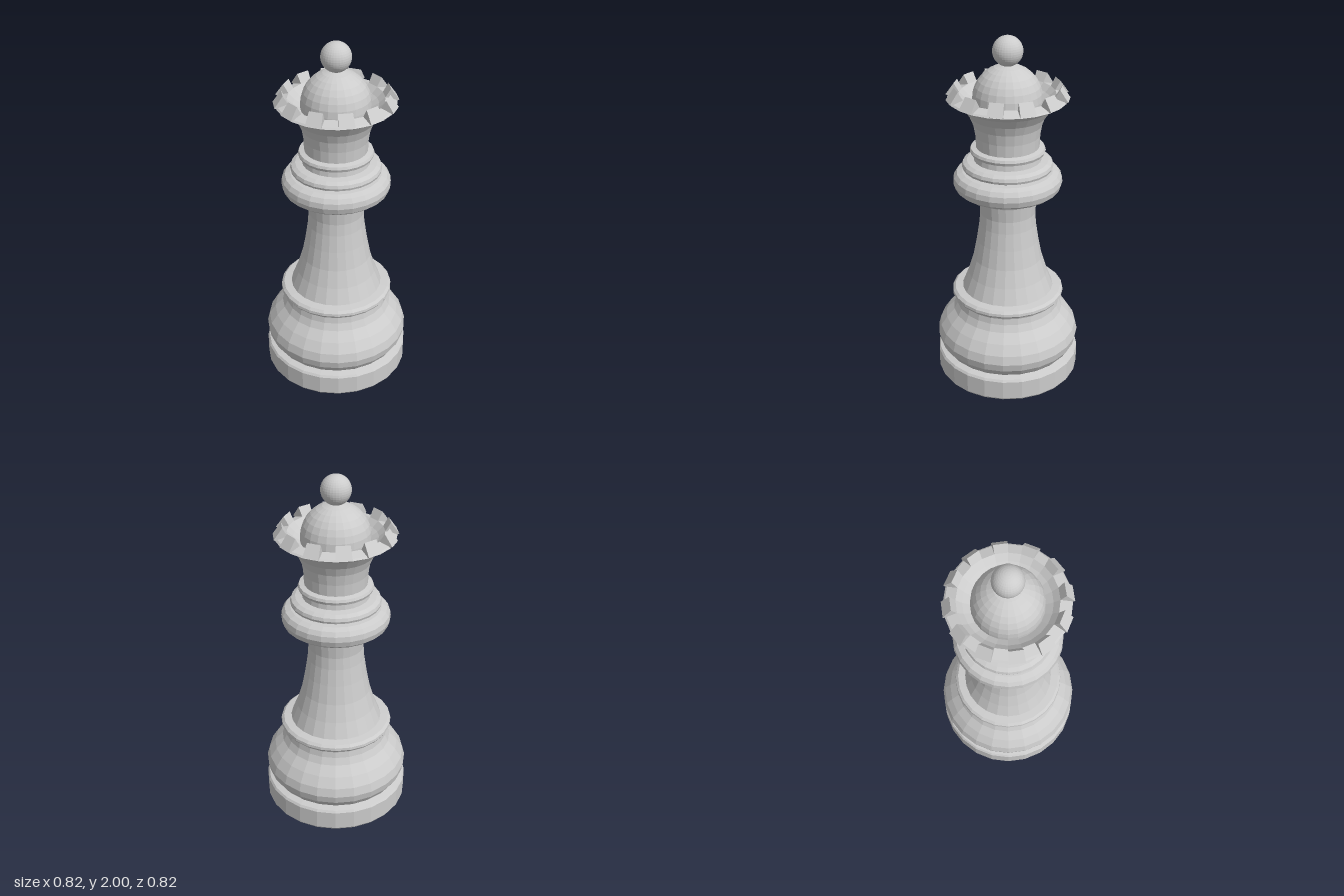
import * as THREE from 'three';

const SIDES = 24;
const STEP = (Math.PI * 2) / SIDES;

export function createModel() {
  const group = new THREE.Group();
  group.name = 'chessQueen';
  const mat = new THREE.MeshStandardMaterial({ color: 0xcccccc, flatShading: true });

  const add = (name, geometry, y = 0, parent = group) => {
    const mesh = new THREE.Mesh(geometry, mat);
    mesh.name = name;
    mesh.position.y = y;
    parent.add(mesh);
    return mesh;
  };
  // Faceted turned part from [radius, height] pairs, listed bottom to top
  const turn = (name, points) =>
    add(name, new THREE.LatheGeometry(points.map(([r, y]) => new THREE.Vector2(r, y)), SIDES));

  // Foot disc and bulging base
  turn('foot', [[0, 0], [0.405, 0], [0.411, 0.01], [0.411, 0.12], [0.402, 0.132], [0.365, 0.142], [0, 0.142]]);
  turn('base', [
    [0.365, 0.14], [0.378, 0.155], [0.4, 0.19], [0.409, 0.235], [0.396, 0.285],
    [0.36, 0.34], [0.315, 0.39], [0.296, 0.43], [0.29, 0.465], [0.295, 0.482],
  ]);
  turn('baseRing', [[0.29, 0.482], [0.312, 0.486], [0.319, 0.497], [0.317, 0.512], [0.303, 0.525], [0.25, 0.532]]);

  // Tapered stem
  turn('stem', [
    [0.26, 0.53], [0.225, 0.62], [0.195, 0.72], [0.174, 0.83],
    [0.159, 0.93], [0.154, 1.0], [0.161, 1.08], [0.176, 1.145],
  ]);

  // Stacked collar rings
  turn('collar', [
    [0.17, 1.14], [0.268, 1.14], [0.29, 1.158], [0.3, 1.19],
    [0.296, 1.22], [0.28, 1.243], [0.25, 1.255], [0.2, 1.258],
  ]);
  turn('middleRing', [
    [0.215, 1.256], [0.228, 1.266], [0.246, 1.272], [0.25, 1.285],
    [0.244, 1.302], [0.222, 1.314], [0.185, 1.32], [0.18, 1.355],
  ]);
  turn('upperRing', [[0.18, 1.353], [0.2, 1.358], [0.206, 1.374], [0.2, 1.388], [0.17, 1.395]]);

  // Flared head with hollow rim
  turn('head', [
    [0.172, 1.39], [0.175, 1.46], [0.185, 1.52], [0.205, 1.57], [0.24, 1.62], [0.288, 1.657],
    [0.32, 1.667], [0.311, 1.675], [0.257, 1.69], [0.225, 1.66], [0.185, 1.635], [0, 1.635],
  ]);

  // Crown teeth: a cross-section swept over every other facet of the rim
  const section = new THREE.Shape(
    [[0.285, 1.656], [0.33, 1.675], [0.285, 1.738], [0.257, 1.69]].map(([r, y]) => new THREE.Vector2(r, y)));
  const teeth = new THREE.Group();
  teeth.name = 'crownTeeth';
  group.add(teeth);
  for (let i = 0; i < SIDES; i += 2) {
    const geo = new THREE.ExtrudeGeometry(section, { depth: 1, bevelEnabled: false, steps: 1 });
    const p = geo.attributes.position;
    for (let v = 0; v < p.count; v++) {
      const r = p.getX(v);
      const a = (i + 1 - p.getZ(v)) * STEP;
      p.setXYZ(v, r * Math.sin(a), p.getY(v), r * Math.cos(a));
    }
    geo.computeVertexNormals();
    add('tooth', geo, 0, teeth);
  }

  // Dome and finial ball
  add('dome', new THREE.SphereGeometry(0.188, SIDES, 8, 0, Math.PI * 2, 0, Math.PI / 2), 1.66);
  turn('domeSkirt', [[0.188, 1.63], [0.188, 1.66]]);
  add('finialBall', new THREE.SphereGeometry(0.081, 32, 20), 1.919);

  return group;
}
